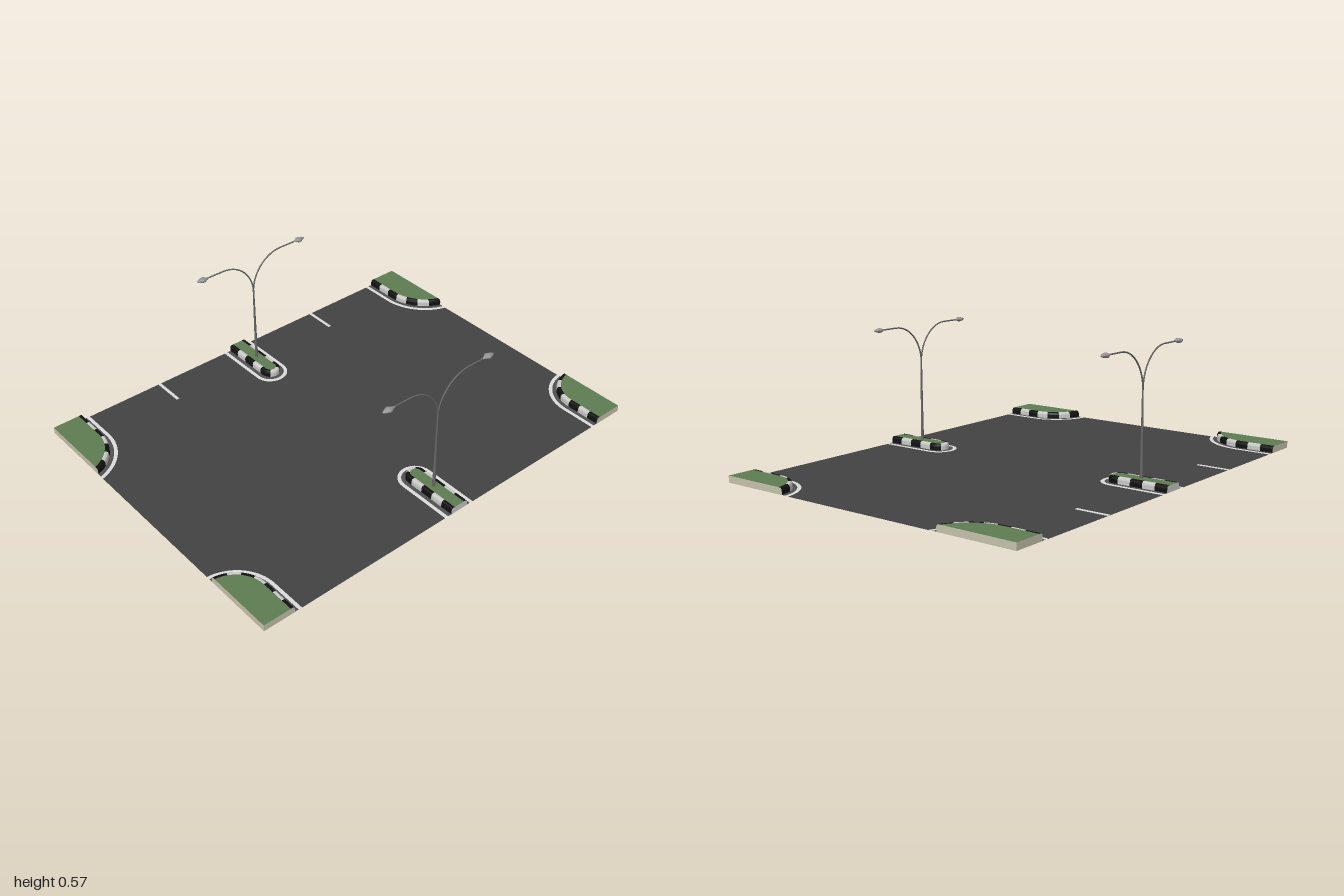
import * as THREE from 'three';

const mat = (name, color) =>
  Object.assign(new THREE.MeshStandardMaterial({ color, side: THREE.DoubleSide }), { name });

// Curb cross-section: [offset inward from the painted edge line, height]
const CURB = [[0.034, 0], [0.034, 0.019], [0.037, 0.027], [0.042, 0.03], [0.052, 0.03]];
const STEPS = 6; // samples per curb stripe

// Quads between two rows of [x, y, z] points
function ribbon(a, b) {
  const v = [];
  for (let i = 0; i + 1 < a.length; i++) v.push(...a[i], ...b[i], ...b[i + 1], ...a[i], ...b[i + 1], ...a[i + 1]);
  return v;
}

function geometryFrom(v) {
  const g = new THREE.BufferGeometry();
  g.setAttribute('position', new THREE.Float32BufferAttribute(v, 3));
  g.computeVertexNormals();
  return g;
}

// Flat horizontal polygon from [x, z] points
function flat(points, y) {
  const shape = new THREE.Shape(points.map(([x, z]) => new THREE.Vector2(x, -z)));
  return new THREE.ShapeGeometry(shape).rotateX(-Math.PI / 2).translate(0, y, 0);
}

// Corner outline: straight from the side edge, then an arc out to the end edge
function cornerIsland(sx, sz, cx, r) {
  const cz = 0.822 + r, stripes = 7, n = stripes * STEPS;
  const straight = 0.75 - cx, arc = (r - 0.034) * 1.3;
  const k = Math.round(n * straight / (straight + arc));
  const at = (i, o) => {
    const R = r - o;
    if (i <= k) return [sx * (0.75 - straight * i / k), sz * (cz - R)];
    const t = Math.acos((cz - 1) / R) * (i - k) / (n - k);
    return [sx * (cx - R * Math.sin(t)), sz * (cz - R * Math.cos(t))];
  };
  return { at, n, stripes, corner: [sx * 0.75, sz] };
}

// Median outline: two straight sides joined by a round nose
function medianIsland(sx) {
  const cx = 0.495, stripes = 11, n = stripes * STEPS, k = 26;
  const at = (i, o) => {
    const h = 0.078 - o;
    if (i <= k) return [sx * (0.75 - (0.75 - cx) * i / k), -h];
    if (i >= n - k) return [sx * (0.75 - (0.75 - cx) * (n - i) / k), h];
    const t = Math.PI * (i - k) / (n - 2 * k);
    return [sx * (cx - h * Math.sin(t)), -h * Math.cos(t)];
  };
  return { at, n, stripes };
}

export function createModel() {
  const model = new THREE.Group();
  const asphalt = mat('asphalt', 0x424242);
  const gutterGrey = mat('gutterGrey', 0x505050);
  const paint = mat('whitePaint', 0xdcdcdc);
  const black = mat('blackPaint', 0x111111);
  const grassGreen = mat('grassGreen', 0x5e7c52);
  const concrete = mat('concrete', 0xc6c3ad);
  const curbWhite = mat('curbWhite', 0xcacac8);
  const steel = mat('steel', 0x686868);
  const lampGrey = mat('lampGrey', 0x929292);

  const add = (parent, name, geometry, material) => {
    const mesh = new THREE.Mesh(geometry, material);
    mesh.name = name;
    parent.add(mesh);
    return mesh;
  };

  const row = (isl, o, y, from = 0, to = isl.n) => {
    const pts = [];
    for (let i = from; i <= to; i++) {
      const [x, z] = isl.at(i, o);
      pts.push([x, y, z]);
    }
    return pts;
  };

  // Islands: edge line, gutter, striped curb, grass and cut end walls
  function buildIsland(name, isl) {
    const g = new THREE.Group();
    g.name = name;
    model.add(g);
    add(g, 'edgeLine', geometryFrom(ribbon(row(isl, 0, 0.001), row(isl, 0.016, 0.001))), paint);
    add(g, 'gutter', geometryFrom(ribbon(row(isl, 0.016, 0.001), row(isl, 0.034, 0.001))), gutterGrey);

    const stripes = [[], []];
    for (let s = 0; s < isl.stripes; s++) {
      for (let j = 0; j + 1 < CURB.length; j++) {
        const [a, b] = [CURB[j], CURB[j + 1]].map(([o, y]) => row(isl, o, y, s * STEPS, (s + 1) * STEPS));
        stripes[s % 2].push(...ribbon(a, b));
      }
    }
    add(g, 'blackCurbStripes', geometryFrom(stripes[0]), black);
    add(g, 'whiteCurbStripes', geometryFrom(stripes[1]), curbWhite);

    const lawn = row(isl, 0.052, 0).map(([x, , z]) => [x, z]);
    if (isl.corner) lawn.push(isl.corner);
    add(g, 'grass', flat(lawn, 0.03), grassGreen);

    const section = (i) => CURB.map(([o, y]) => {
      const [x, z] = isl.at(i, o);
      return [x, y, z];
    });
    const top = [...section(0)];
    if (isl.corner) top.push([isl.corner[0], 0.03, isl.corner[1]]);
    top.push(...section(isl.n).reverse());
    add(g, 'endWall', geometryFrom(ribbon(top, top.map(([x, , z]) => [x, 0, z]))),
      isl.corner ? concrete : curbWhite);
  }

  const frontLeft = cornerIsland(1, 1, 0.587, 0.195);
  const backLeft = cornerIsland(1, -1, 0.587, 0.195);
  const frontRight = cornerIsland(-1, 1, 0.59, 0.248);
  const backRight = cornerIsland(-1, -1, 0.59, 0.248);
  const leftMedian = medianIsland(1);
  const rightMedian = medianIsland(-1);
  buildIsland('frontLeftCorner', frontLeft);
  buildIsland('backLeftCorner', backLeft);
  buildIsland('frontRightCorner', frontRight);
  buildIsland('backRightCorner', backRight);
  buildIsland('leftMedian', leftMedian);
  buildIsland('rightMedian', rightMedian);

  // Road surface, cut out around the islands
  const edge = (isl) => row(isl, 0, 0).map(([x, , z]) => [x, z]);
  add(model, 'road', flat([
    ...edge(frontLeft), ...edge(frontRight).reverse(), ...edge(rightMedian).reverse(),
    ...edge(backRight), ...edge(backLeft).reverse(), ...edge(leftMedian),
  ], 0), asphalt);

  // Lane lines on one side
  for (const z of [-0.45, 0.45]) {
    add(model, 'laneLine', new THREE.BoxGeometry(0.15, 0.002, 0.014), paint).position.set(-0.675, 0.001, z);
  }

  // Double-armed street lamps
  const headProfile = [[0, 0], [0.004, 0], [0.007, 0.012], [0.017, 0.026], [0.016, 0.036], [0.008, 0.054], [0, 0.064]]
    .map(([x, y]) => new THREE.Vector2(x, y));
  for (const x of [-0.6, 0.6]) {
    const lamp = new THREE.Group();
    lamp.name = 'streetLamp';
    lamp.position.x = x;
    model.add(lamp);
    add(lamp, 'poleBase', new THREE.CylinderGeometry(0.006, 0.0075, 0.1, 10), steel).position.y = 0.075;
    add(lamp, 'pole', new THREE.CylinderGeometry(0.0035, 0.006, 0.29, 10), steel).position.y = 0.265;
    for (const s of [-1, 1]) {
      const p = (y, z) => new THREE.Vector3(0, y, s * z);
      const path = new THREE.CurvePath();
      path.add(new THREE.CubicBezierCurve3(p(0.4, 0), p(0.49, 0.005), p(0.563, 0.075), p(0.563, 0.16)));
      path.add(new THREE.LineCurve3(p(0.563, 0.16), p(0.563, 0.24)));
      add(lamp, 'arm', new THREE.TubeGeometry(path, 24, 0.0033, 8), steel);
      const head = add(lamp, 'lampHead',
        new THREE.LatheGeometry(headProfile, 12).rotateX(s * Math.PI / 2).scale(1, 0.62, 1), lampGrey);
      head.position.set(0, 0.563, s * 0.236);
    }
  }
  return model;
}
